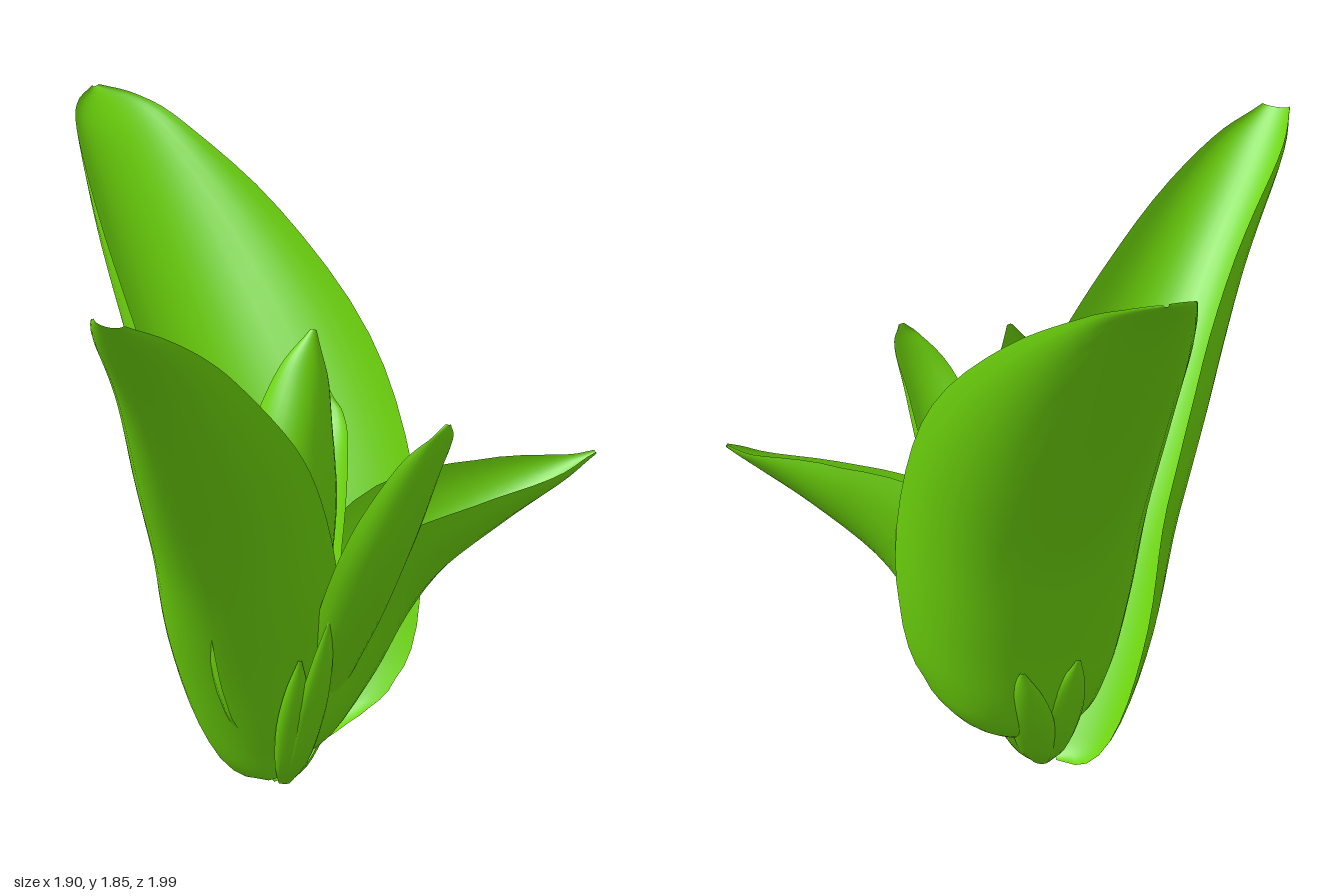
import * as THREE from 'three';

const green = new THREE.MeshStandardMaterial({ color: 0x6ed60c, side: THREE.DoubleSide });

// Cupped leaf swept along its keel.
// rows: [x, y, z, halfWidth, cupDepth]; inner: direction the hollow side faces.
function leaf(name, inner, rows, along = 28, across = 14) {
  const keel = new THREE.CatmullRomCurve3(
    rows.map(r => new THREE.Vector3(r[0], r[1], r[2])), false, 'catmullrom', 0.5);
  const size = new THREE.CatmullRomCurve3(
    rows.map(r => new THREE.Vector3(r[3], r[4], 0)), false, 'catmullrom', 0.5);
  const facing = new THREE.Vector3(...inner).normalize();
  const pos = [], index = [];
  for (let i = 0; i <= along; i++) {
    const u = i / along;
    const p = keel.getPoint(u), s = size.getPoint(u), t = keel.getTangent(u);
    const side = new THREE.Vector3().crossVectors(t, facing).normalize();
    // The foot of the leaf cups straight inward, the blade square to its keel
    const cup = new THREE.Vector3().crossVectors(side, t).normalize()
      .lerp(facing, Math.max(0, 0.9 - 3 * u));
    for (let j = 0; j <= across; j++) {
      const a = (j / across * 2 - 1) * 1.45;
      const v = p.clone()
        .addScaledVector(side, Math.max(s.x, 0) * Math.sin(a))
        .addScaledVector(cup, Math.max(s.y, 0) * (1 - Math.cos(a)));
      pos.push(v.x, Math.max(v.y, 0), v.z);
      if (i < along && j < across) {
        const k = i * (across + 1) + j, n = k + across + 1;
        index.push(k, k + 1, n, k + 1, n + 1, n);
      }
    }
  }
  const geo = new THREE.BufferGeometry();
  geo.setAttribute('position', new THREE.Float32BufferAttribute(pos, 3));
  geo.setIndex(index);
  geo.computeVertexNormals();
  const mesh = new THREE.Mesh(geo, green);
  mesh.name = name;
  return mesh;
}

export function createModel() {
  const plant = new THREE.Group();
  plant.name = 'plant';

  // Three large outer leaves
  plant.add(leaf('backLeaf', [0, 0, 1], [
    [0.15, 0.09, 0.19, 0.04, 0.03],
    [0.15, 0.13, 0.11, 0.20, 0.15],
    [0.15, 0.22, 0.06, 0.29, 0.27],
    [0.15, 0.41, 0.00, 0.36, 0.37],
    [0.15, 0.71, -0.12, 0.39, 0.43],
    [0.15, 1.04, -0.33, 0.38, 0.42],
    [0.15, 1.41, -0.61, 0.30, 0.27],
    [0.15, 1.68, -0.83, 0.19, 0.11],
    [0.15, 1.79, -0.94, 0.11, 0.04],
    [0.15, 1.84, -1.00, 0.01, 0.01],
  ], 36, 18));
  plant.add(leaf('rightLargeLeaf', [0.82, 0, -0.57], [
    [0.06, 0.02, 0.24, 0.04, 0.02],
    [-0.02, 0.13, 0.24, 0.20, 0.12],
    [-0.15, 0.40, 0.30, 0.28, 0.25],
    [-0.28, 0.68, 0.40, 0.29, 0.33],
    [-0.44, 0.96, 0.53, 0.27, 0.33],
    [-0.65, 1.30, 0.72, 0.20, 0.22],
    [-0.84, 1.55, 0.88, 0.13, 0.10],
    [-0.93, 1.67, 0.96, 0.05, 0.02],
  ], 36, 18));
  plant.add(leaf('leftLargeLeaf', [-0.96, 0, -0.28], [
    [0.10, 0.05, 0.24, 0.03, 0.02],
    [0.23, 0.14, 0.26, 0.12, 0.12],
    [0.36, 0.32, 0.29, 0.16, 0.25],
    [0.45, 0.50, 0.33, 0.17, 0.33],
    [0.55, 0.65, 0.385, 0.165, 0.29],
    [0.72, 0.80, 0.475, 0.12, 0.16],
    [0.87, 0.91, 0.55, 0.06, 0.05],
    [0.95, 0.97, 0.58, 0.01, 0.01],
  ]));

  // Young leaves in the middle
  plant.add(leaf('frontLeaf', [-0.3, 0, -0.95], [
    [0.11, 0.03, 0.24, 0.02, 0.02],
    [0.18, 0.26, 0.35, 0.08, 0.07],
    [0.22, 0.52, 0.52, 0.12, 0.13],
    [0.245, 0.78, 0.67, 0.125, 0.13],
    [0.275, 1.02, 0.78, 0.09, 0.08],
    [0.30, 1.14, 0.82, 0.05, 0.02],
    [0.31, 1.19, 0.83, 0.01, 0.01],
  ]));
  plant.add(leaf('centreLeaf', [0.4, 0, -0.9], [
    [0.08, 0.04, 0.25, 0.02, 0.02],
    [0.04, 0.40, 0.33, 0.11, 0.12],
    [0.04, 0.80, 0.36, 0.15, 0.18],
    [0.07, 1.05, 0.34, 0.13, 0.15],
    [0.13, 1.25, 0.29, 0.08, 0.07],
    [0.18, 1.37, 0.25, 0.01, 0.01],
  ]));
  plant.add(leaf('innerLeaf', [-0.55, 0, 0.83], [
    [0.10, 0.05, 0.22, 0.02, 0.02],
    [0.17, 0.40, 0.16, 0.11, 0.11],
    [0.21, 0.70, 0.10, 0.14, 0.13],
    [0.28, 0.94, 0.04, 0.12, 0.10],
    [0.34, 1.06, 0.00, 0.07, 0.04],
    [0.37, 1.11, -0.01, 0.01, 0.01],
  ]));

  // Short sheaths around the foot: [tipX, tipY, tipZ, halfWidth]
  const foot = [0.09, 0.22];
  [[0.10, 0.55, 0.49, 0.05], [0.03, 0.42, 0.43, 0.05], [0.30, 0.32, 0.18, 0.06],
   [0.23, 0.36, 0.01, 0.07], [0.05, 0.38, 0.01, 0.07]].forEach(([x, y, z, w], i) => {
    const dx = x - foot[0], dz = z - foot[1];
    const at = (k, h, s) => [foot[0] + dx * k, y * h, foot[1] + dz * k, w * s, w * s * 0.7];
    plant.add(leaf('footSheath' + (i + 1), [-dx, 0, -dz], [
      at(0.1, 0, 0.3), at(0.4, 0.15, 0.8), at(0.7, 0.45, 1), at(0.9, 0.75, 0.7), at(1, 1, 0.1),
    ], 14, 8));
  });

  return plant;
}
